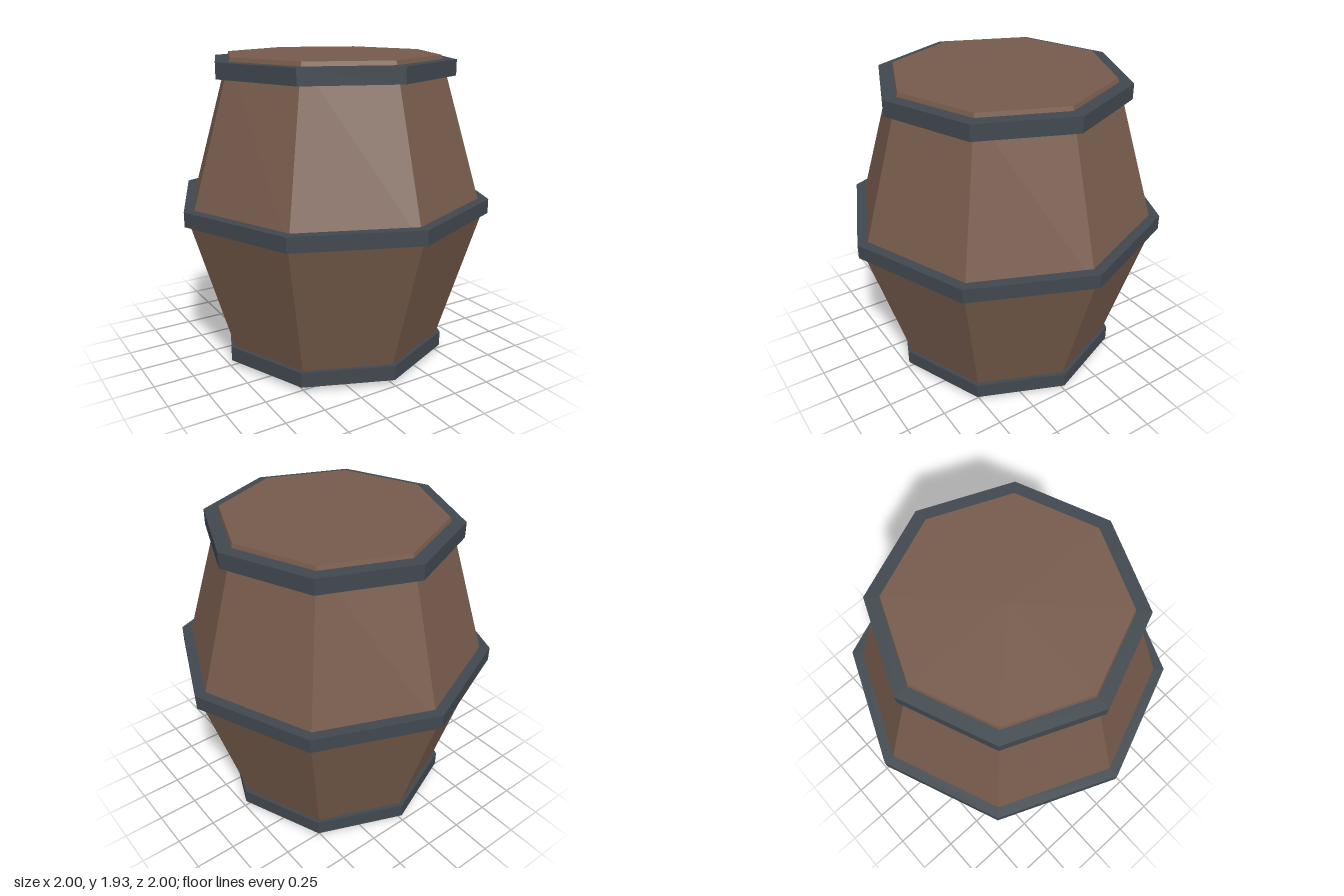
import * as THREE from 'three';

const SIDES = 8;

export function createModel() {
  const group = new THREE.Group();
  group.name = 'barrel';

  const wood = new THREE.MeshStandardMaterial({ color: 0x775b4c, flatShading: true });
  wood.name = 'brown wood';
  const iron = new THREE.MeshStandardMaterial({ color: 0x40484f, flatShading: true });
  iron.name = 'dark iron';

  // Turn a profile of [radius, height] points, listed counterclockwise, into an eight-sided part
  const turned = (name, profile, material) => {
    const points = profile.map(([r, y]) => new THREE.Vector2(r, y));
    const mesh = new THREE.Mesh(new THREE.LatheGeometry(points, SIDES), material);
    mesh.name = name;
    group.add(mesh);
  };

  // Closed wooden body, widest at the middle
  const endRadius = 0.675, midRadius = 0.963, height = 1.93;
  turned('body', [[0, 0], [endRadius, 0], [midRadius, height / 2], [endRadius, height], [0, height]], wood);

  // Iron hoops: square-section rings with the inner wall sunk into the wood
  const hoop = (name, outer, inner, y0, y1) =>
    turned(name, [[inner, y0], [outer, y0], [outer, y1], [inner, y1], [inner, y0]], iron);
  hoop('bottomHoop', 0.74, 0.66, 0.035, 0.13);
  hoop('middleHoop', 1.0, 0.92, 0.97, 1.06);
  hoop('topHoop', 0.767, 0.66, 1.81, 1.905);

  return group;
}
